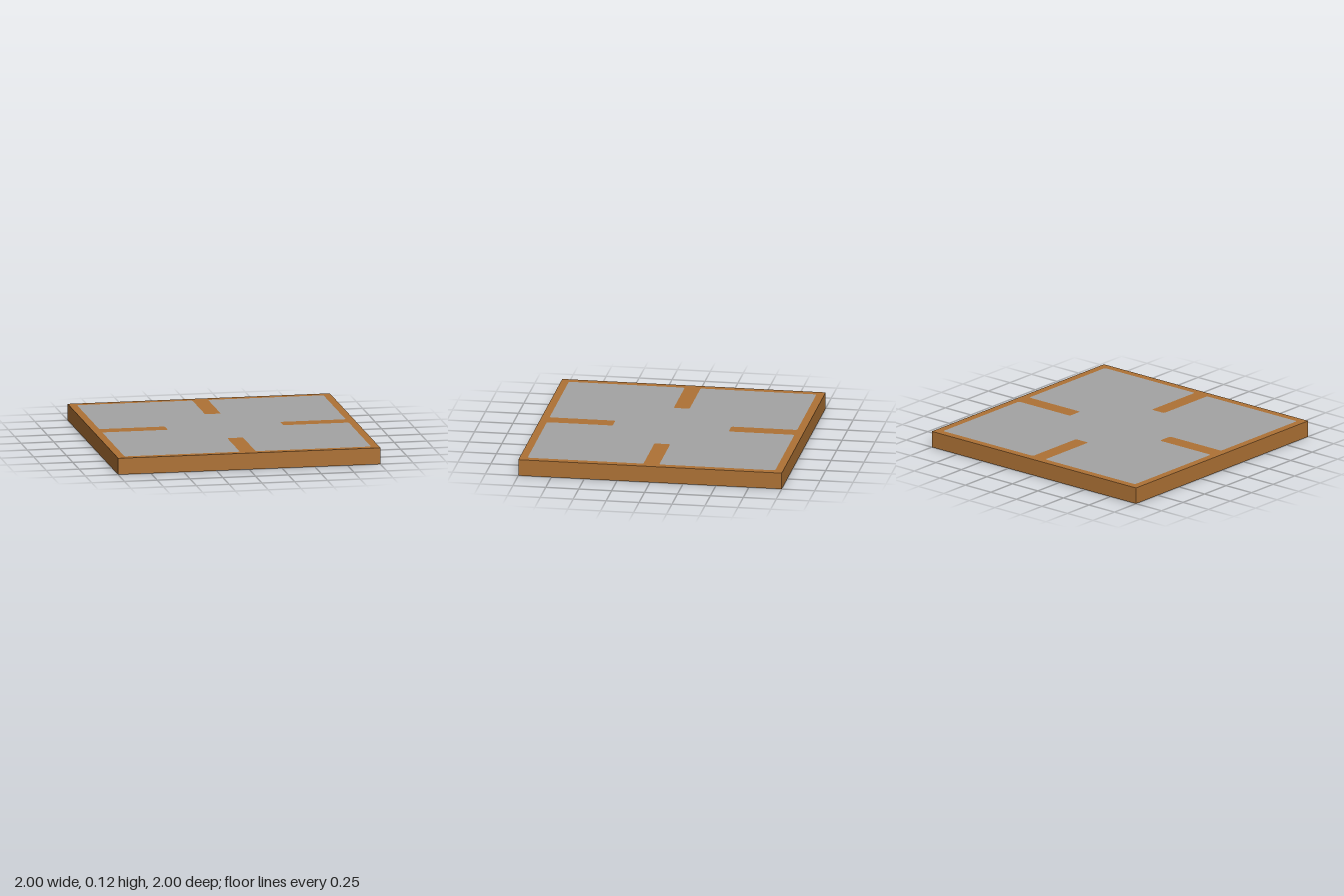
import * as THREE from 'three';

const HEIGHT = 0.125;  // tile thickness
const EDGE = 0.94;     // outer reach of the grey inlay
const SLOT = 0.06;     // half width of each brown tongue
const TIP = 0.44;      // inner end of each tongue

// Closed path through the points with every corner softened by radius r
function outline(points, r, Type) {
  const path = new Type();
  points.forEach((p, i) => {
    const before = points[(i + points.length - 1) % points.length];
    const after = points[(i + 1) % points.length];
    const a = p.clone().add(before.clone().sub(p).setLength(r));
    const b = p.clone().add(after.clone().sub(p).setLength(r));
    if (i === 0) path.moveTo(a.x, a.y);
    else path.lineTo(a.x, a.y);
    path.quadraticCurveTo(p.x, p.y, b.x, b.y);
  });
  path.closePath();
  return path;
}

// Square of half size s, as a shape or a hole
function square(s, Type) {
  return new Type([[s, s], [-s, s], [-s, -s], [s, -s]].map(([x, y]) => new THREE.Vector2(x, y)));
}

// One side of the inlay with its notch, turned four times
function inlayPoints() {
  const side = [[EDGE, EDGE], [SLOT, EDGE], [SLOT, TIP], [-SLOT, TIP], [-SLOT, EDGE]];
  const points = [];
  for (let k = 0; k < 4; k++) {
    for (const [x, y] of side) {
      points.push(new THREE.Vector2(x, y).rotateAround(new THREE.Vector2(), k * Math.PI / 2));
    }
  }
  return points;
}

export function createModel() {
  const model = new THREE.Group();
  const brown = new THREE.MeshStandardMaterial({ color: 0xae7235 });
  brown.name = 'brown frame';
  const grey = new THREE.MeshStandardMaterial({ color: 0xa3a3a3 });
  grey.name = 'grey inlay';

  function add(name, geometry, material) {
    const mesh = new THREE.Mesh(geometry, material);
    mesh.name = name;
    model.add(mesh);
    return mesh;
  }

  // Flat face looking up at the top or down at the base
  function addFace(name, shape, material, up) {
    const geometry = new THREE.ShapeGeometry(shape, 4);
    geometry.rotateX(up ? -Math.PI / 2 : Math.PI / 2);
    add(name, geometry, material).position.y = up ? HEIGHT : 0;
  }

  // Four outer walls
  const walls = new THREE.CylinderGeometry(Math.SQRT2, Math.SQRT2, HEIGHT, 4, 1, true)
    .rotateY(Math.PI / 4).toNonIndexed();
  walls.computeVertexNormals();
  add('outerWalls', walls, brown).position.y = HEIGHT / 2;

  // Top: brown border with four tongues around the flush inlay
  const points = inlayPoints();
  const topFrame = square(1, THREE.Shape);
  topFrame.holes.push(outline(points, 0.018, THREE.Path));
  addFace('topFrame', topFrame, brown, true);
  addFace('topInlay', outline(points, 0.018, THREE.Shape), grey, true);

  // Base: plain border around a square inlay
  const baseFrame = square(1, THREE.Shape);
  baseFrame.holes.push(square(EDGE, THREE.Path));
  addFace('baseFrame', baseFrame, brown, false);
  addFace('baseInlay', square(EDGE, THREE.Shape), grey, false);

  return model;
}
